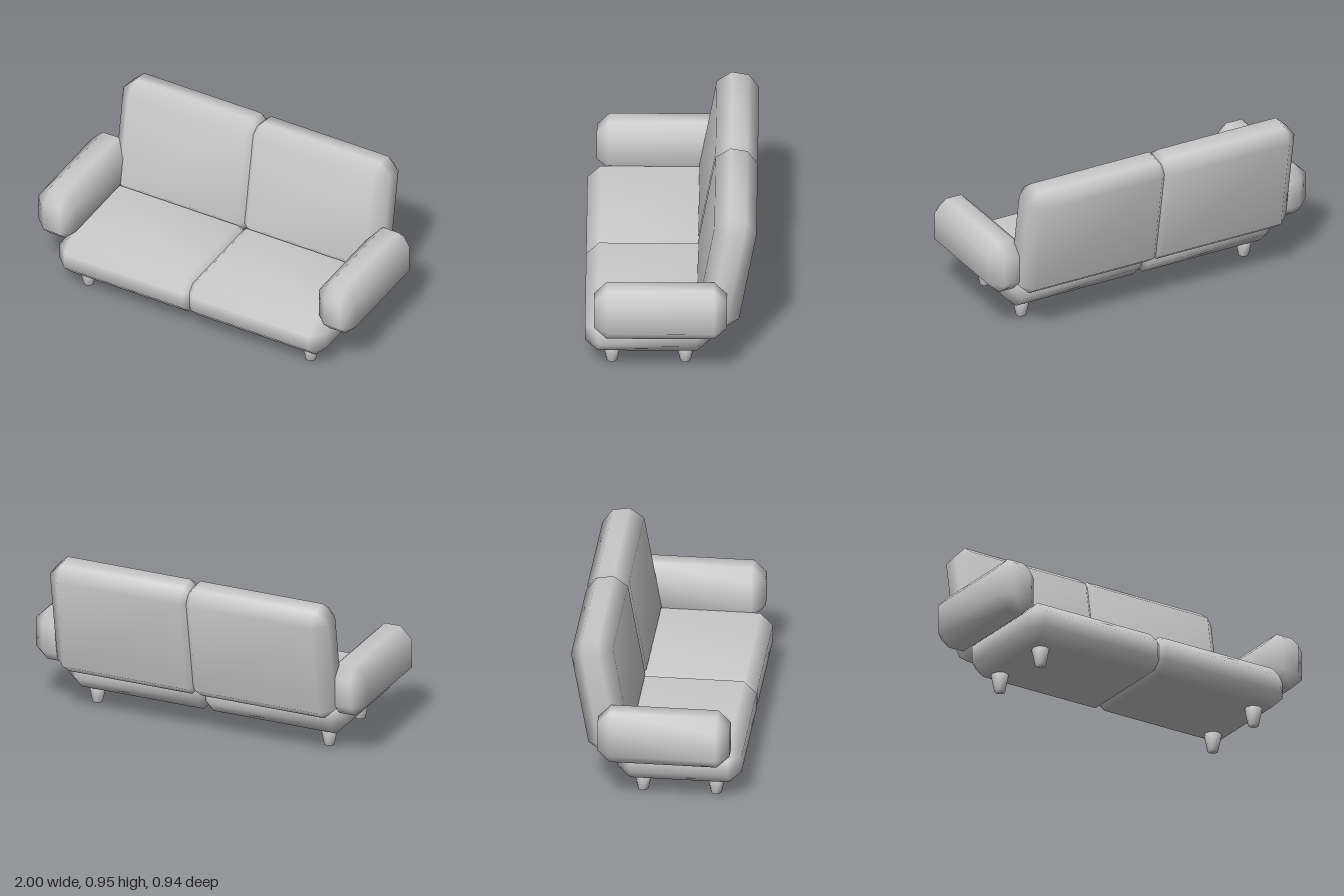
import * as THREE from 'three';
import { mergeVertices } from 'three/addons/utils/BufferGeometryUtils.js';
import { ConvexGeometry } from 'three/addons/geometries/ConvexGeometry.js';

const BEVEL = 0.07;

// Shares vertices so shading runs smoothly over every edge
function smooth(geometry) {
  geometry.deleteAttribute('normal');
  geometry.deleteAttribute('uv');
  const merged = mergeVertices(geometry, 1e-4);
  merged.computeVertexNormals();
  return merged;
}

// Box with every edge cut by one bevel: three points at each corner
function cushionGeometry(width, height, depth) {
  const half = [width / 2, height / 2, depth / 2];
  const points = [];
  for (const sx of [-1, 1]) for (const sy of [-1, 1]) for (const sz of [-1, 1]) {
    for (let outer = 0; outer < 3; outer++) {
      const p = [sx, sy, sz].map((s, i) => s * (half[i] - (i === outer ? 0 : BEVEL)));
      points.push(new THREE.Vector3(...p));
    }
  }
  return smooth(new ConvexGeometry(points));
}

export function createModel() {
  const sofa = new THREE.Group();
  sofa.name = 'sofa';
  const material = new THREE.MeshStandardMaterial({ color: 0xcccccc });

  function add(name, geometry, x, y, z, tilt = 0) {
    const mesh = new THREE.Mesh(geometry, material);
    mesh.name = name;
    mesh.position.set(x, y, z);
    mesh.rotation.x = tilt;
    sofa.add(mesh);
  }

  const seat = cushionGeometry(0.88, 0.235, 0.685);
  const back = cushionGeometry(0.88, 0.69, 0.235);
  const arm = cushionGeometry(0.235, 0.305, 0.73);
  const leg = smooth(new THREE.CylinderGeometry(0.05, 0.03, 0.1, 8));

  for (const [side, s] of [['left', 1], ['right', -1]]) {
    // Cushions overlap a little at the middle seam
    add(side + 'SeatCushion', seat, s * 0.4, 0.217, 0.127);
    add(side + 'BackCushion', back, s * 0.4, 0.597, -0.308, -THREE.MathUtils.degToRad(10));
    add(side + 'Arm', arm, s * 0.8825, 0.425, 0.054);

    // Tapered feet
    add(side + 'FrontLeg', leg, s * 0.7, 0.05, 0.322);
    add(side + 'BackLeg', leg, s * 0.7, 0.05, -0.081);
  }
  return sofa;
}
